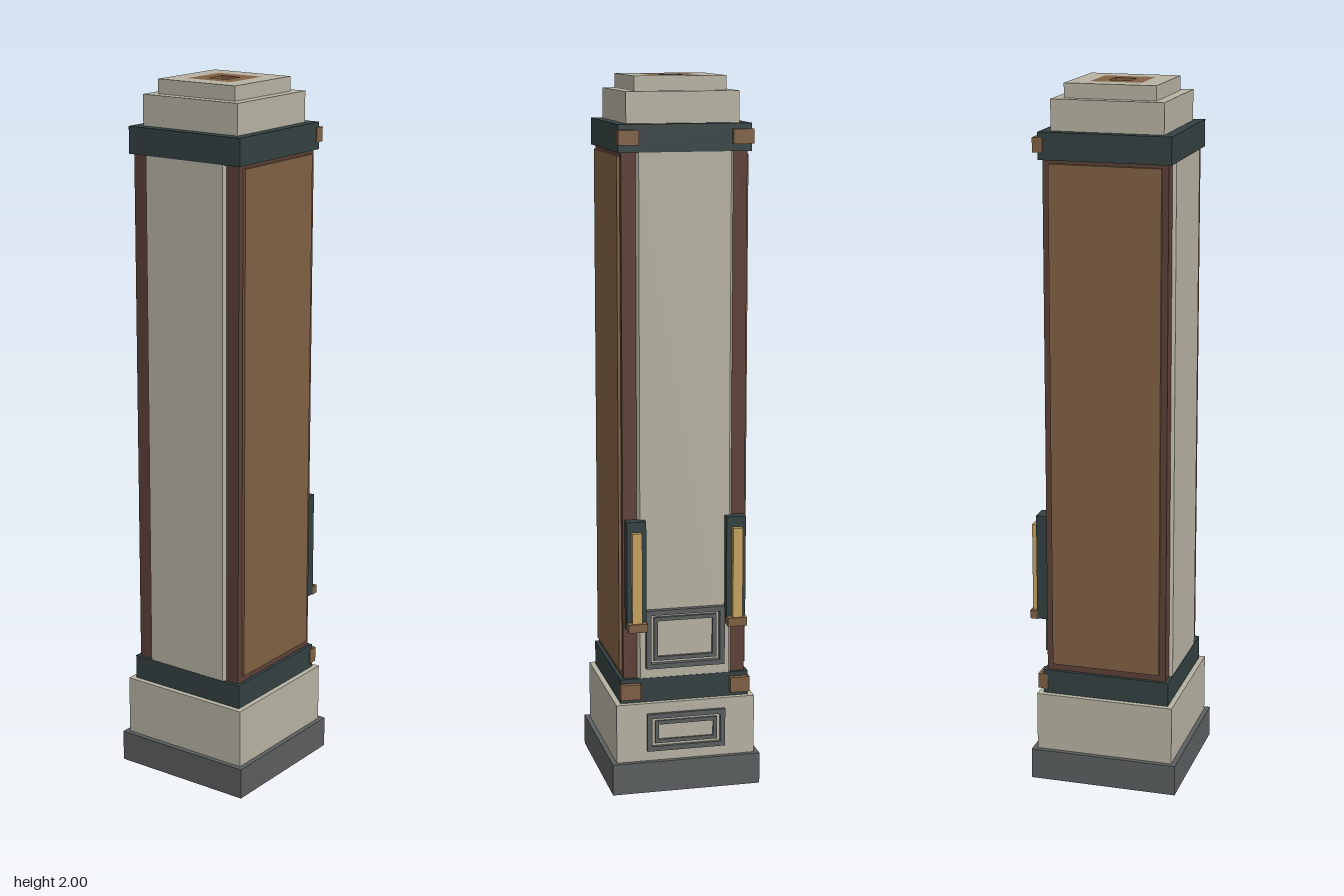
import * as THREE from 'three';

const CZ = 0.006; // the shaft sits slightly forward because of the rear fittings

function material(name, color) {
  const m = new THREE.MeshStandardMaterial({ color });
  m.name = name;
  return m;
}

export function createModel() {
  const model = new THREE.Group();
  model.name = 'pillar';
  const stone = material('stone', 0xb6b2a2);
  const slate = material('slate', 0x5b5e5e);
  const teal = material('darkTeal', 0x334041);
  const umber = material('darkBrown', 0x5b4036);
  const bronze = material('bronze', 0x806044);
  const gold = material('gold', 0xc6a25f);

  const add = (name, geometry, mat, parent = model) => {
    const mesh = new THREE.Mesh(geometry, mat);
    mesh.name = name;
    parent.add(mesh);
    return mesh;
  };
  // box given by its limits on each axis
  const box = (name, mat, [x0, x1], [y0, y1], [z0, z1], parent) => {
    const mesh = add(name, new THREE.BoxGeometry(x1 - x0, y1 - y0, z1 - z0), mat, parent);
    mesh.position.set((x0 + x1) / 2, (y0 + y1) / 2, (z0 + z1) / 2);
    return mesh;
  };
  // square course centred on the shaft axis
  const course = (name, mat, half, y0, y1) =>
    box(name, mat, [-half, half], [y0, y1], [CZ - half, CZ + half]);
  const rect = (T, w, h) => new T([
    new THREE.Vector2(-w, -h), new THREE.Vector2(w, -h),
    new THREE.Vector2(w, h), new THREE.Vector2(-w, h)]);
  // rectangular frame in the xy plane, extruded along z
  const frame = (w, h, bar, depth) => {
    const shape = rect(THREE.Shape, w, h);
    shape.holes.push(rect(THREE.Path, w - bar, h - bar));
    return new THREE.ExtrudeGeometry(shape, { depth, bevelEnabled: false });
  };

  // stacked courses
  course('base', slate, 0.214, 0, 0.09);
  course('plinth', stone, 0.2, 0.09, 0.26);
  course('lowerBand', teal, 0.185, 0.26, 0.33);
  course('shaft', umber, 0.175, 0.33, 1.8);
  course('upperBand', teal, 0.185, 1.8, 1.875);
  course('lowerCap', stone, 0.157, 1.875, 1.96);

  // top cap with an inlaid ring around an open well
  for (const [name, mat, half, bar] of [
    ['upperCap', stone, 0.128, 0.056], ['topInlay', bronze, 0.072, 0.042]]) {
    const ring = add(name, frame(half, half, bar, 0.04), mat);
    ring.rotation.x = -Math.PI / 2;
    ring.position.set(0, 1.96, CZ);
  }

  // bevelled stone panels on the front and back
  const section = new THREE.Shape([
    new THREE.Vector2(-0.135, 0), new THREE.Vector2(0.135, 0),
    new THREE.Vector2(0.128, -0.009), new THREE.Vector2(-0.128, -0.009)]);
  const panelGeometry = new THREE.ExtrudeGeometry(section, { depth: 1.47, bevelEnabled: false });
  panelGeometry.rotateX(-Math.PI / 2);
  for (const [name, turn, z] of [['frontPanel', 0, CZ + 0.175], ['backPanel', Math.PI, CZ - 0.175]]) {
    const panel = add(name, panelGeometry, stone);
    panel.rotation.y = turn;
    panel.position.set(0, 0.33, z);
  }

  // fittings mirrored on both sides
  for (const s of [-1, 1]) {
    const side = s > 0 ? 'left' : 'right';
    const span = (a, b) => (s > 0 ? [a, b] : [-b, -a]);
    box(side + 'SidePanel', bronze, span(0.174, 0.183), [0.35, 1.79], [CZ - 0.157, CZ + 0.157]);
    box(side + 'UpperClasp', bronze, span(0.13, 0.187), [1.82, 1.86], [-0.165, -0.194]
      .sort((a, b) => a - b));
    box(side + 'LowerClasp', bronze, span(0.13, 0.187), [0.273, 0.317], [-0.194, -0.165]);

    const lamp = new THREE.Group();
    lamp.name = side + 'Lamp';
    model.add(lamp);
    box('lampHousing', teal, span(0.115, 0.17), [0.48, 0.79], [-0.201, -0.155], lamp);
    box('lampStrip', gold, span(0.13, 0.158), [0.5, 0.76], [-0.217, -0.2], lamp);
    box('lampFoot', bronze, span(0.115, 0.17), [0.478, 0.502], [-0.222, -0.2], lamp);
  }

  // nested frames on the back: y centre, half height, back surface, depth
  for (const [name, y, h, z, depth] of [
    ['shaftHatch', 0.445, 0.085, -0.178, 0.016], ['plinthVent', 0.175, 0.055, -0.194, 0.01]]) {
    const outer = add(name + 'OuterFrame', frame(0.113, h, 0.014, depth), slate);
    outer.position.set(0, y, z - depth);
    const inner = add(name + 'InnerFrame', frame(0.09, h - 0.022, 0.011, depth * 0.6), slate);
    inner.position.set(0, y, z - depth * 0.6);
  }

  return model;
}
